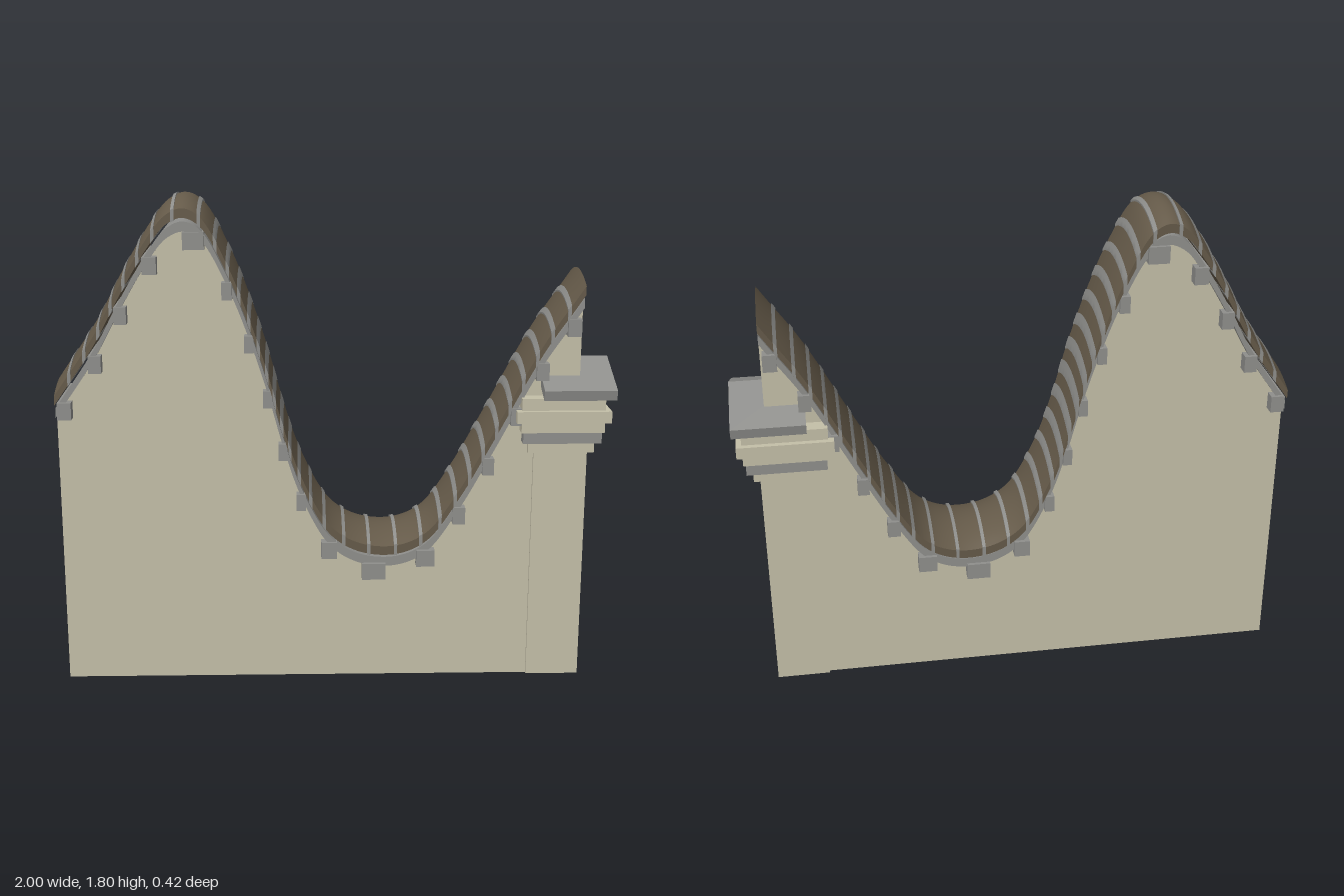
import * as THREE from 'three';
import { toCreasedNormals } from 'three/addons/utils/BufferGeometryUtils.js';

const X0 = -1, X1 = 0.88;

// Wave followed by the wall top, edging and tiles
const wave = new THREE.CatmullRomCurve3([
  [-1, 1.055], [-0.853, 1.27], [-0.757, 1.445], [-0.65, 1.62], [-0.59, 1.692], [-0.53, 1.717],
  [-0.47, 1.687], [-0.382, 1.53], [-0.307, 1.34], [-0.243, 1.14], [-0.19, 0.945], [-0.126, 0.755],
  [-0.024, 0.57], [0.07, 0.505], [0.18, 0.485], [0.27, 0.502], [0.345, 0.55], [0.45, 0.7],
  [0.553, 0.885], [0.74, 1.235], [0.848, 1.395], [0.88, 1.443],
].map(([x, y]) => new THREE.Vector3(x, y, 0)));
const samples = wave.getPoints(500);

function waveY(x) {
  let i = 1;
  while (i < samples.length - 1 && samples[i].x < x) i++;
  const a = samples[i - 1], b = samples[i];
  return a.y + (b.y - a.y) * (x - a.x) / (b.x - a.x);
}

// Extrude a z/y profile along x, then lift each vertex onto the wave
function sweep(shape, x0, x1, steps) {
  const g = new THREE.ExtrudeGeometry(shape, { depth: x1 - x0, steps, bevelEnabled: false });
  g.rotateY(Math.PI / 2).translate(x0, 0, 0);
  const p = g.attributes.position;
  for (let i = 0; i < p.count; i++) p.setY(i, p.getY(i) + waveY(p.getX(i)));
  return toCreasedNormals(g, 0.5);
}

// Cross-section with a flat base, short sides and a bowed top
function archShape(halfWidth, base, shoulder, crown) {
  const s = new THREE.Shape();
  s.moveTo(-halfWidth, base);
  s.lineTo(halfWidth, base);
  for (let i = 0; i <= 14; i++) {
    const t = 1 - i / 7;
    s.lineTo(halfWidth * t, shoulder + (crown - shoulder) * (1 - t * t));
  }
  return s;
}

function rectShape(halfWidth, y0, y1) {
  const s = new THREE.Shape();
  s.moveTo(-halfWidth, y0);
  s.lineTo(halfWidth, y0);
  s.lineTo(halfWidth, y1);
  s.lineTo(-halfWidth, y1);
  return s;
}

function material(name, color) {
  const m = new THREE.MeshStandardMaterial({ color });
  m.name = name;
  return m;
}

export function createModel() {
  const plaster = material('cream plaster', 0xc4bfa8);
  const stone = material('grey stone', 0x8f8f8c);
  const clay = material('brown clay', 0x655a49);

  const model = new THREE.Group();
  model.name = 'wavyWall';
  const add = (name, geometry, mat, parent = model) => {
    const mesh = new THREE.Mesh(geometry, mat);
    mesh.name = name;
    parent.add(mesh);
    return mesh;
  };
  const box = (name, mat, x0, x1, y0, y1, z0, z1, parent) =>
    add(name, new THREE.BoxGeometry(x1 - x0, y1 - y0, z1 - z0), mat, parent)
      .position.set((x0 + x1) / 2, (y0 + y1) / 2, (z0 + z1) / 2);
  const group = (name) => {
    const g = new THREE.Group();
    g.name = name;
    model.add(g);
    return g;
  };

  // Wall body
  const outline = new THREE.Shape();
  outline.moveTo(X0, 0);
  outline.lineTo(X1, 0);
  for (let i = 0; i <= 120; i++) {
    const x = X1 + (X0 - X1) * i / 120;
    outline.lineTo(x, waveY(x) - 0.02);
  }
  add('wall', new THREE.ExtrudeGeometry(outline, { depth: 0.24, bevelEnabled: false })
    .translate(0, 0, -0.12), plaster);

  // Edging strip under the tiles
  add('edging', sweep(rectShape(0.15, -0.042, -0.007), X0, X1, 140), stone);

  // Tile cover with raised joints at equal distances along the wave
  add('tiles', sweep(archShape(0.168, 0.007, 0.04, 0.08), X0, X1, 160), clay);
  const joints = group('tileJoints');
  const jointShape = archShape(0.172, 0.004, 0.046, 0.086);
  const length = wave.getLength();
  const count = Math.round(length / 0.098);
  for (let i = 1; i < count; i++) {
    const x = wave.getPointAt(i / count).x;
    add('tileJoint', sweep(jointShape, x - 0.006, x + 0.006, 2), stone, joints);
  }

  // Brackets, narrower where the wave is steep
  const brackets = group('brackets');
  for (const x of [-0.968, -0.853, -0.757, -0.65, -0.495, -0.382, -0.307, -0.243, -0.19,
    -0.126, -0.024, 0.14, 0.33, 0.45, 0.553, 0.65, 0.74, 0.848]) {
    const slope = (waveY(x + 0.01) - waveY(x - 0.01)) / 0.02;
    const w = Math.max(0.033, 0.087 / Math.hypot(1, slope)) / 2;
    const y = waveY(x) - 0.063;
    box('bracket', stone, x - w, x + w, y - 0.031, y + 0.031, -0.163, 0.163, brackets);
  }

  // Pillar shaft with a recessed end panel
  const pillar = group('pillar');
  for (const s of [-1, 1]) {
    box('pillarSide', plaster, 0.72, 0.915, 0, 0.87,
      Math.min(s * 0.095, s * 0.132), Math.max(s * 0.095, s * 0.132), pillar);
  }

  // Stepped capital: half width in x, bottom, top
  const cx = 0.8175;
  [[0.12, 0.87, 0.91, plaster], [0.142, 0.91, 0.952, stone], [0.15, 0.952, 0.992, plaster],
    [0.17, 0.992, 1.035, plaster], [0.15, 1.035, 1.078, plaster]].forEach(([h, y0, y1, mat]) =>
    box('capitalStep', mat, cx - h, cx + h, y0, y1, -h - 0.025, h + 0.025, pillar));

  // Gable and its roof
  const prism = (points, x0, x1) => new THREE.ExtrudeGeometry(
    new THREE.Shape(points.map(([z, y]) => new THREE.Vector2(z, y))),
    { depth: x1 - x0, bevelEnabled: false }).rotateY(Math.PI / 2).translate(x0, 0, 0);
  add('gable', prism([[-0.175, 1.07], [0.175, 1.07], [0.175, 1.095], [0, 1.17], [-0.175, 1.095]],
    0.75, 0.968), plaster, pillar);
  add('gableRoof', prism([[-0.212, 1.115], [-0.205, 1.078], [0, 1.162], [0.205, 1.078],
    [0.212, 1.115], [0, 1.2]], 0.74, 1), stone, pillar);

  return model;
}
